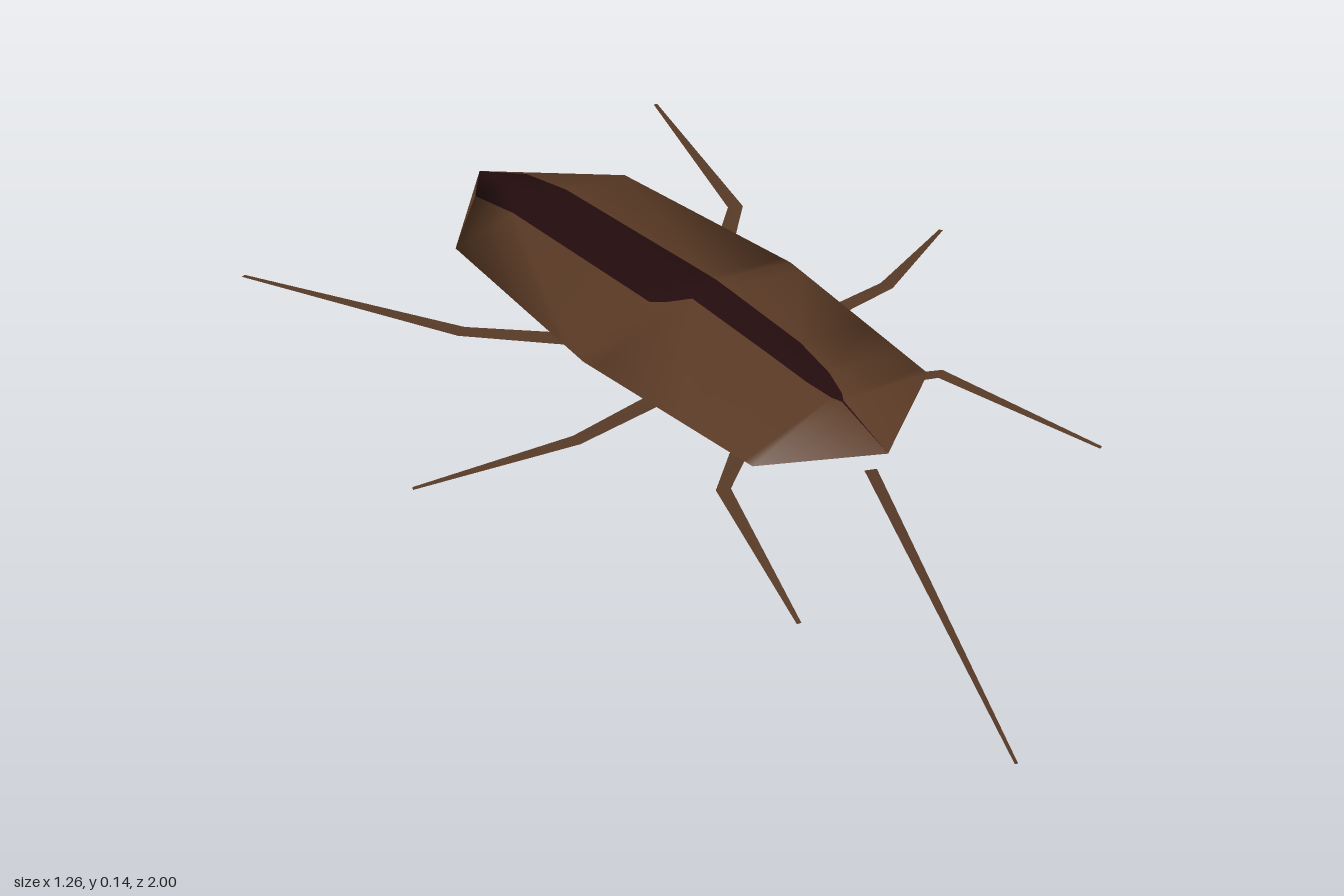
import * as THREE from 'three';

const mat = (name, color, side = THREE.FrontSide) => {
  const m = new THREE.MeshStandardMaterial({ color, side });
  m.name = name;
  return m;
};

// Linear lookup in rows of [z, a, b, ...] sorted by falling z
function sample(rows, z, col) {
  for (let i = 0; i < rows.length - 1; i++) {
    const p = rows[i], q = rows[i + 1];
    if (z <= p[0] && z >= q[0]) {
      return THREE.MathUtils.lerp(p[col], q[col], (p[0] - z) / (p[0] - q[0]));
    }
  }
  return rows[rows.length - 1][col];
}

// Body sections: z, half width, rim height, ridge height, belly height
const SECTIONS = [
  [0.287, 0, 0.064, 0.064, 0.064],
  [0.17, 0.205, 0.072, 0.11, 0.036],
  [-0.25, 0.246, 0.08, 0.137, 0.029],
  [-0.71, 0.205, 0.077, 0.112, 0.038],
  [-0.923, 0, 0.07, 0.07, 0.07],
];

// Back stripe: z, right-hand edge, left-hand edge
const STRIPE = [
  [0.287, 0, 0],
  [0.17, -0.002, 0.002],
  [0.15, -0.008, 0.016],
  [0.09, -0.013, 0.04],
  [-0.01, -0.014, 0.06],
  [-0.22, -0.018, 0.062],
  [-0.25, -0.055, 0.062],
  [-0.275, -0.073, 0.062],
  [-0.71, -0.068, 0.06],
  [-0.845, -0.065, 0.06],
  [-0.923, 0, 0],
];

// Flat-bottomed ridged shell; the stripe is its own strip of faces
function buildBody(materials) {
  const positions = [], shell = [], stripe = [], belly = [];
  const cols = 8;
  for (const [z, l, r] of STRIPE) {
    const [w, rim, ridge, low] = [1, 2, 3, 4].map((c) => sample(SECTIONS, z, c));
    const roof = (x) => (w > 0 ? ridge + (rim - ridge) * Math.abs(x) / w : ridge);
    const shoulder = low + (rim - low) * 0.2;
    positions.push(
      -w, rim, z, l, roof(l), z, 0, ridge, z, r, roof(r), z, w, rim, z,
      w * 0.55, shoulder, z, 0, low, z, -w * 0.55, shoulder, z,
    );
  }
  for (let i = 0; i < STRIPE.length - 1; i++) {
    for (let j = 0; j < cols; j++) {
      const a = i * cols + j, b = i * cols + (j + 1) % cols;
      const target = j === 1 || j === 2 ? stripe : j < 4 ? shell : belly;
      target.push(a, b, b + cols, a, b + cols, a + cols);
    }
  }
  const geo = new THREE.BufferGeometry();
  geo.setAttribute('position', new THREE.Float32BufferAttribute(positions, 3));
  geo.setIndex([...shell, ...stripe, ...belly]);
  geo.addGroup(0, shell.length, 0);
  geo.addGroup(shell.length, stripe.length, 1);
  geo.addGroup(shell.length + stripe.length, belly.length, 1);
  geo.computeVertexNormals();

  // Blend normals evenly from ridge to rim, across the stripe edges
  const n = geo.attributes.normal;
  const get = (k) => new THREE.Vector3().fromBufferAttribute(n, k);
  STRIPE.forEach(([z, l, r], i) => {
    const k = i * cols, w = sample(SECTIONS, z, 1);
    if (w === 0) return;
    const top = get(k + 2).setX(0).normalize();
    n.setXYZ(k + 2, top.x, top.y, top.z);
    for (const [col, rimCol, x] of [[1, 0, l], [3, 4, r]]) {
      const v = top.clone().lerp(get(k + rimCol), Math.abs(x) / w).normalize();
      n.setXYZ(k + col, v.x, v.y, v.z);
    }
  });
  const body = new THREE.Mesh(geo, materials);
  body.name = 'body';
  return body;
}

// Flat tapering ribbon through points of [x, y, z, width]
function ribbon(points, material, name) {
  const pos = [], index = [];
  points.forEach(([x, y, z, width], i) => {
    const p = points[Math.max(i - 1, 0)], q = points[Math.min(i + 1, points.length - 1)];
    const dx = q[0] - p[0], dz = q[2] - p[2], s = width / 2 / Math.hypot(dx, dz);
    pos.push(x - dz * s, y, z + dx * s, x + dz * s, y, z - dx * s);
    if (i > 0) {
      const k = i * 2;
      index.push(k - 2, k, k - 1, k - 1, k, k + 1);
    }
  });
  const geo = new THREE.BufferGeometry();
  geo.setAttribute('position', new THREE.Float32BufferAttribute(pos, 3));
  geo.setIndex(index);
  geo.computeVertexNormals();
  // Keep the upper side as the front
  if (geo.attributes.normal.getY(0) < 0) {
    geo.setIndex(index.reverse());
    geo.computeVertexNormals();
  }
  const mesh = new THREE.Mesh(geo, material);
  mesh.name = name;
  return mesh;
}

// Legs on the +x side: base, low joint, knee, foot
const LEGS = {
  FrontLeg: [[0.07, 0.037, 0.02, 0.035], [0.115, 0.017, 0.045, 0.035], [0.255, 0.037, 0.152, 0.026], [0.353, 0, 0.46, 0.008]],
  MiddleLeg: [[0.07, 0.037, -0.15, 0.04], [0.115, 0.017, -0.145, 0.04], [0.367, 0.045, -0.112, 0.028], [0.63, 0, -0.235, 0.008]],
  BackLeg: [[0.07, 0.037, -0.3, 0.042], [0.115, 0.017, -0.335, 0.042], [0.33, 0.044, -0.515, 0.03], [0.51, 0, -1, 0.008]],
};

export function createModel() {
  const model = new THREE.Group();
  model.name = 'insect';
  const brown = mat('shellBrown', 0x5a3a25);
  const dark = mat('darkMaroon', 0x240c0e);
  const limb = mat('limbBrown', 0x573a27, THREE.DoubleSide);

  model.add(buildBody([brown, dark]));

  // Three pairs of legs
  for (const [name, points] of Object.entries(LEGS)) {
    for (const side of [1, -1]) {
      const pts = points.map(([x, y, z, w]) => [x * side, y, z, w]);
      model.add(ribbon(pts, limb, (side > 0 ? 'left' : 'right') + name));
    }
  }

  // Single feeler on the right
  model.add(ribbon([[-0.043, 0.053, 0.29, 0.022], [-0.414, 0.136, 1, 0.005]], limb, 'rightAntenna'));
  return model;
}
